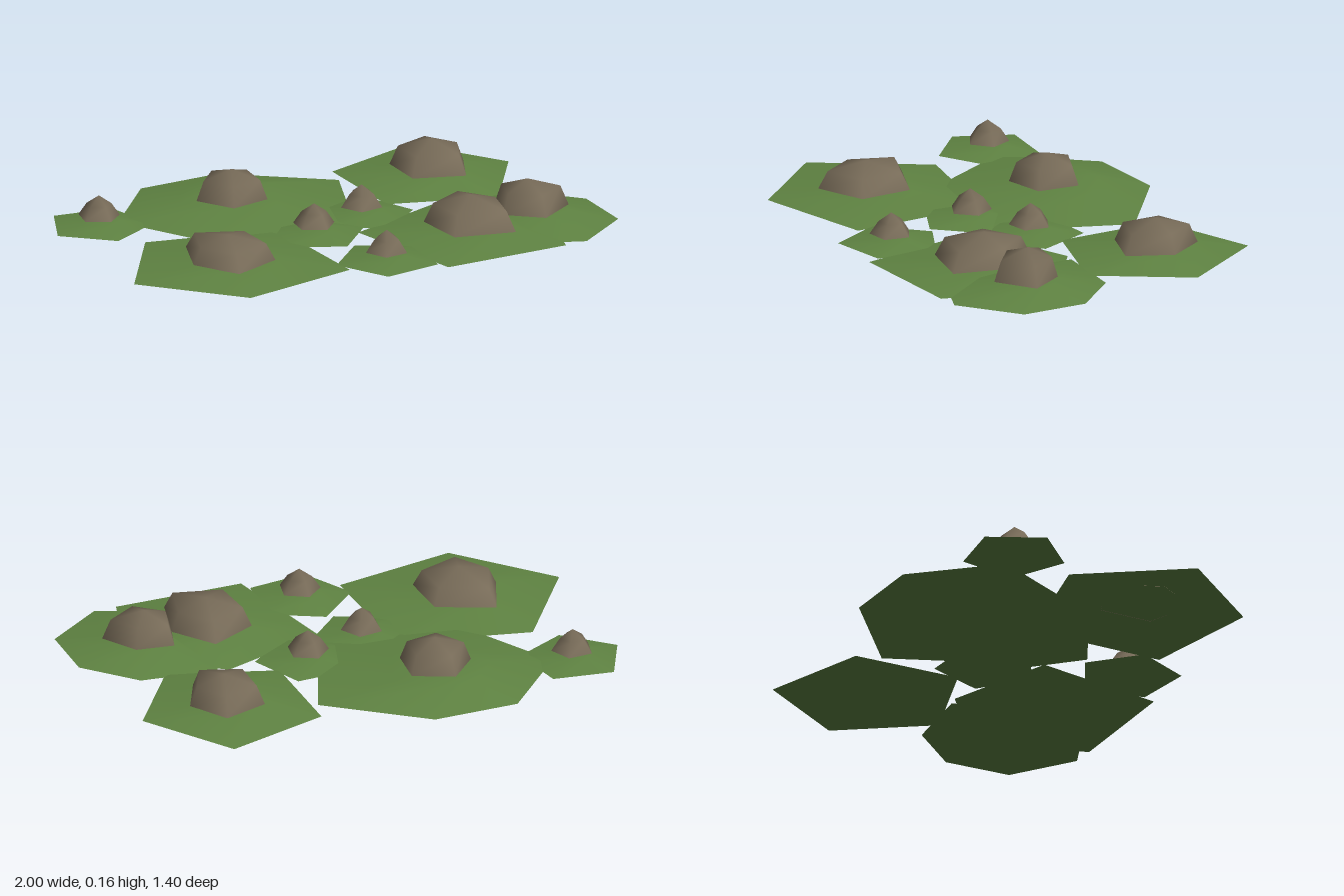
import * as THREE from 'three';

// Smooth dome on a polygon: corners at equal angles, one radius each; shoulder ring, then apex
function dome({ at: [cx, cz], turn, radii, base, top }, shoulderScale, rise) {
  const n = radii.length;
  const pos = [];
  const index = [];
  for (const [scale, y] of [[1, base], [shoulderScale, base + (top - base) * rise]]) {
    radii.forEach((r, i) => {
      const a = THREE.MathUtils.degToRad(turn + (360 * i) / n);
      pos.push(cx + Math.cos(a) * r * scale, y, cz + Math.sin(a) * r * scale);
    });
  }
  pos.push(cx, top, cz);
  for (let i = 0; i < n; i++) {
    const j = (i + 1) % n;
    index.push(j, i, n + i, j, n + i, n + j, n + j, n + i, 2 * n);
  }
  const geo = new THREE.BufferGeometry();
  geo.setAttribute('position', new THREE.Float32BufferAttribute(pos, 3));
  geo.setIndex(index);
  geo.computeVertexNormals();
  return geo;
}

const even = r => Array(5).fill(r);

// Small mounds: five-sided stone on a five-sided tuft, all of one size
const smallMounds = [
  { at: [-0.76, -0.41], stoneTurn: 15, grassTurn: 27 },
  { at: [-0.1, 0.09], stoneTurn: 10, grassTurn: 10 },
  { at: [0.17, -0.01], stoneTurn: 47, grassTurn: 16 },
  { at: [-0.02, 0.5], stoneTurn: 50, grassTurn: 47 },
];

// Large grass patches, angles in degrees from +x towards +z
const patches = [
  { at: [-0.23, -0.4], turn: 0, radii: [0.53, 0.6, 0.49, 0.45, 0.345, 0.345], base: 0, top: 0.048 },
  { at: [0.62, -0.27], turn: 2, radii: [0.35, 0.37, 0.374, 0.37, 0.38], base: 0, top: 0.04 },
  { at: [-0.58, 0.26], turn: 36, radii: [0.465, 0.385, 0.42, 0.425, 0.472], base: 0, top: 0.036 },
  { at: [0.45, 0.35], turn: -12, radii: [0.36, 0.41, 0.47, 0.44, 0.33], base: 0, top: 0.04 },
  { at: [0.72, 0.36], turn: 34, radii: [0.32, 0.345, 0.33, 0.33, 0.38, 0.31, 0.295], base: 0, top: 0.04 },
];

// Boulders, one per large patch
const boulders = [
  { at: [-0.22, -0.33], turn: 44, radii: even(0.143), base: 0.045, top: 0.155 },
  { at: [0.64, -0.28], turn: 1, radii: [0.14, 0.18, 0.172, 0.161, 0.163], base: 0.035, top: 0.145 },
  { at: [-0.58, 0.26], turn: 36, radii: [0.18, 0.186, 0.156, 0.218, 0.184], base: 0.03, top: 0.127 },
  { at: [0.43, 0.365], turn: -6, radii: [0.15, 0.215, 0.197, 0.177, 0.187], base: 0.035, top: 0.145 },
  { at: [0.7, 0.34], turn: 20, radii: [0.16, 0.15, 0.134, 0.138, 0.115], base: 0.04, top: 0.155 },
];

export function createModel() {
  const grassMat = new THREE.MeshStandardMaterial({ color: 0x5f8342, side: THREE.DoubleSide });
  grassMat.name = 'grass green';
  const rockMat = new THREE.MeshStandardMaterial({ color: 0x776b58, side: THREE.DoubleSide });
  rockMat.name = 'rock brown';

  const model = new THREE.Group();
  model.name = 'rockyGround';
  const add = (name, geometry, material) => {
    const mesh = new THREE.Mesh(geometry, material);
    mesh.name = name;
    model.add(mesh);
  };

  // Low swells of grass and the rounded boulders on them
  patches.forEach(p => add('grassPatch', dome(p, 0.42, 0.85), grassMat));
  boulders.forEach(b => add('boulder', dome(b, 0.8, 0.68), rockMat));

  // Small tufts with pointed stones
  for (const { at, stoneTurn, grassTurn } of smallMounds) {
    add('grassTuft', dome({ at, turn: grassTurn, radii: even(0.204), base: 0, top: 0.022 }, 0.42, 0.85), grassMat);
    add('stone', dome({ at, turn: stoneTurn, radii: even(0.083), base: 0.035, top: 0.12 }, 0.6, 0.58), rockMat);
  }
  return model;
}
